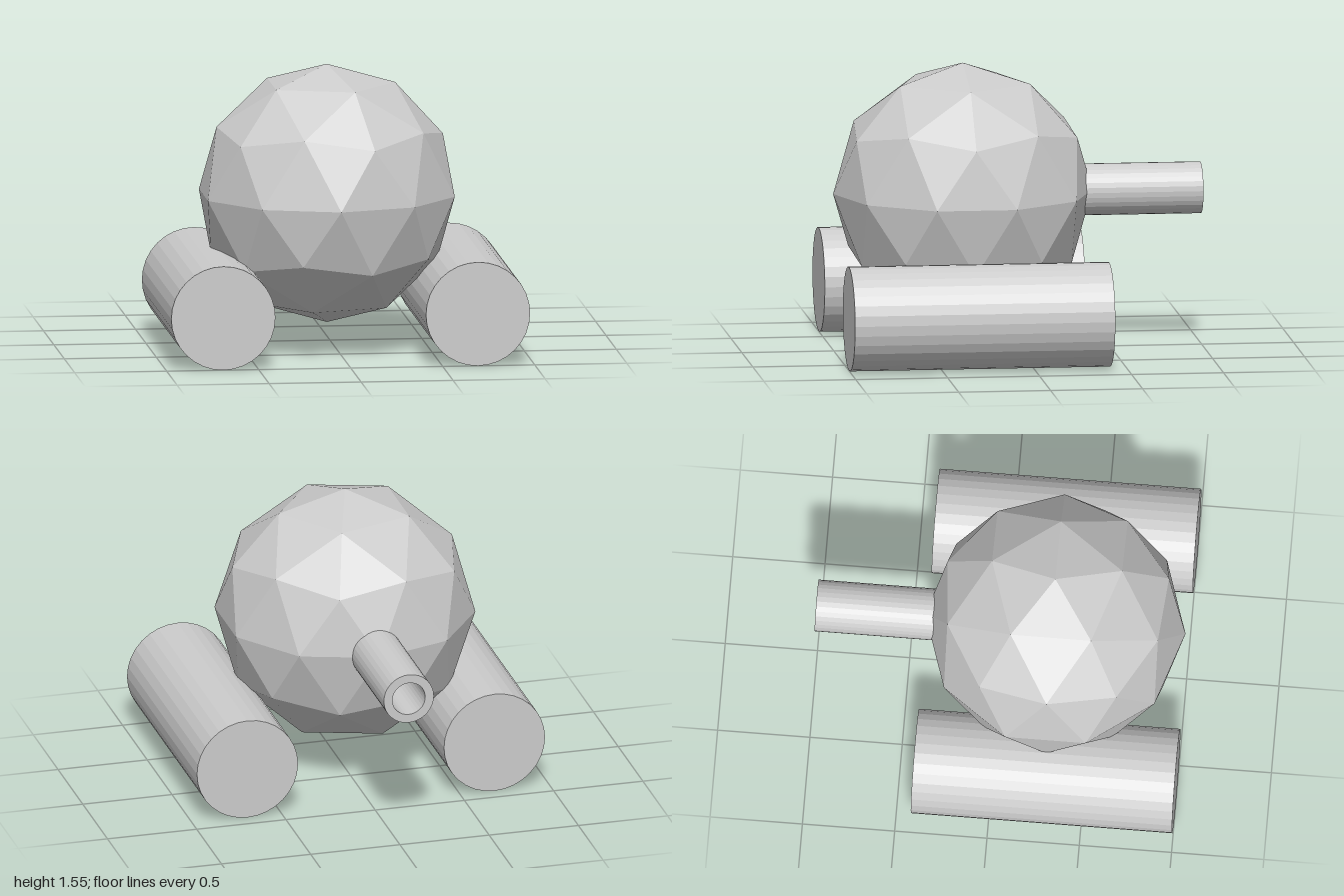
import * as THREE from 'three';

export function createModel() {
  const model = new THREE.Group();
  const material = new THREE.MeshStandardMaterial({ color: 0xcccccc, flatShading: true });

  const add = (name, geometry, x, y, z) => {
    const mesh = new THREE.Mesh(geometry, material);
    mesh.name = name;
    mesh.position.set(x, y, z);
    model.add(mesh);
    return mesh;
  };

  // Faceted ball, turned so that one corner points straight up
  const golden = (1 + Math.sqrt(5)) / 2;
  const ball = new THREE.IcosahedronGeometry(0.705, 1).rotateZ(-Math.atan(1 / golden));
  add('body', ball, -0.05, 0.85, 0.293);

  // Two solid rollers lying along z
  for (const side of [1, -1]) {
    const roller = new THREE.CylinderGeometry(0.283, 0.283, 1.415, 32).rotateX(Math.PI / 2);
    add(side > 0 ? 'leftRoller' : 'rightRoller', roller, side * 0.692, 0.283, 0.2925);
  }

  // Hollow barrel pointing backwards; its inner end is buried in the body
  const profile = [[0.14, 0], [0.14, 0.7], [0.092, 0.7], [0.092, 0]]
    .map(([r, h]) => new THREE.Vector2(r, h));
  const barrel = new THREE.LatheGeometry(profile, 32).rotateX(-Math.PI / 2);
  add('barrel', barrel, -0.05, 0.85, -0.3);

  return model;
}
